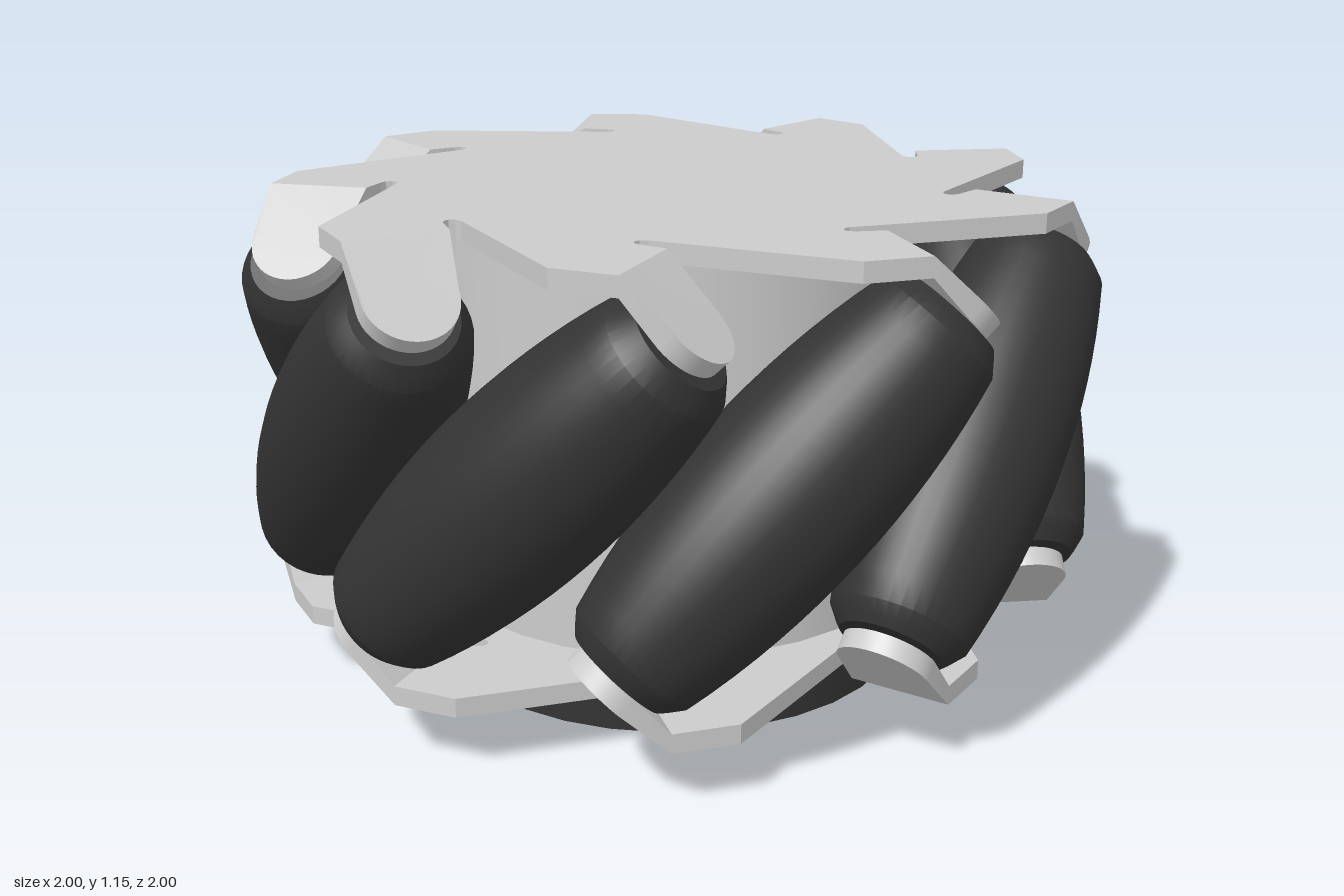
import * as THREE from 'three';
import { toCreasedNormals } from 'three/addons/utils/BufferGeometryUtils.js';

const COUNT = 9, STEP = (Math.PI * 2) / COUNT;
const MID_Y = 0.65;      // height of the wheel's middle plane
const HALF = 0.505;      // half the distance between the plates' outer faces
const THICK = 0.045;     // sheet thickness
const AXIS_R = 0.79;     // distance of roller axes from the wheel axis
const FOLD = 0.27;       // tangential position of the tab fold

const grey = new THREE.MeshStandardMaterial({ color: 0xcccccc });
const dark = new THREE.MeshStandardMaterial({ color: 0x333333 });

function addMesh(parent, name, geometry, material) {
  const mesh = new THREE.Mesh(geometry, material);
  mesh.name = name;
  parent.add(mesh);
  return mesh;
}

// Sheet cut from a plan outline: shape (x, -z) becomes a slab lying flat
function sheet(shape) {
  return new THREE.ExtrudeGeometry(shape, { depth: THICK, bevelEnabled: false, curveSegments: 12 })
    .rotateX(-Math.PI / 2);
}

// Saw-toothed plate, one tooth and one rounded slit per roller
function plateGeometry() {
  const tooth = [
    [0.12, 0.89], [FOLD, 0.89], [FOLD, 0.655],
    [0.205, 0.645], [0.19, 0.638], [0.184, 0.625], [0.19, 0.612], [0.205, 0.605],
  ];
  const points = [];
  for (let k = 0; k < COUNT; k++) {
    const c = Math.cos(k * STEP), s = Math.sin(k * STEP);
    for (const [t, r] of tooth) points.push(new THREE.Vector2(t * c + r * s, t * s - r * c));
  }
  return sheet(new THREE.Shape(points)).translate(0, HALF - THICK, 0);
}

// Round-ended tab folded 45 degrees down to face the roller's end
function tabGeometry() {
  const shape = new THREE.Shape();
  shape.moveTo(0, -0.89);
  shape.lineTo(0.136, -0.89);
  shape.absarc(0.136, -0.785, 0.105, -Math.PI / 2, Math.PI / 2, false);
  shape.lineTo(0, -0.655);
  const geometry = sheet(shape);
  const pos = geometry.attributes.position;
  for (let i = 0; i < pos.count; i++) {
    const u = pos.getX(i), h = pos.getY(i) - THICK / 2;
    const folded = u > 1e-4;
    const x = folded ? (u + h) * Math.SQRT1_2 : 0;
    const y = folded ? (h - u) * Math.SQRT1_2 : h;
    pos.setXYZ(i, FOLD + x, HALF - THICK / 2 + y, pos.getZ(i));
  }
  return toCreasedNormals(geometry, 0.5);
}

// Barrel roller whose profile follows the wheel's outer circle
function rollerGeometry() {
  const end = 0.46, points = [[0, -0.505], [0.118, -0.505], [0.132, -0.49]];
  for (let i = 0; i <= 16; i++) {
    const s = -end + (2 * end * i) / 16;
    points.push([Math.sqrt(1 - (s * s) / 2) - AXIS_R, s]);
  }
  points.push([0.132, 0.49], [0.118, 0.505], [0, 0.505]);
  const lathe = new THREE.LatheGeometry(points.map(([r, y]) => new THREE.Vector2(r, y)), 36);
  return toCreasedNormals(lathe, 0.45).rotateZ(-Math.PI / 4).translate(0, 0, AXIS_R);
}

export function createModel() {
  const model = new THREE.Group();
  model.name = 'rollerWheel';

  const wheel = new THREE.Group();
  wheel.name = 'wheel';
  wheel.position.y = MID_Y;
  wheel.rotation.y = Math.PI;
  model.add(wheel);

  // Hub drum between the plates
  addMesh(wheel, 'hubDrum', new THREE.CylinderGeometry(0.57, 0.57, 2 * (HALF - THICK), 32), grey);

  // Two identical plates, the lower one turned over
  const plate = plateGeometry(), tab = tabGeometry();
  for (const name of ['topPlate', 'bottomPlate']) {
    const side = new THREE.Group();
    side.name = name;
    if (name === 'bottomPlate') side.rotation.z = Math.PI;
    addMesh(side, 'plateSheet', plate, grey);
    for (let k = 0; k < COUNT; k++) addMesh(side, 'rollerTab', tab, grey).rotation.y = k * STEP;
    wheel.add(side);
  }

  // Slanted rollers around the rim
  const roller = rollerGeometry();
  for (let k = 0; k < COUNT; k++) addMesh(wheel, 'roller', roller, dark).rotation.y = k * STEP;

  // Mounting disc underneath
  const disc = new THREE.CylinderGeometry(0.565, 0.565, 0.145, 32);
  addMesh(model, 'mountingDisc', disc, dark).position.y = 0.0725;

  return model;
}
